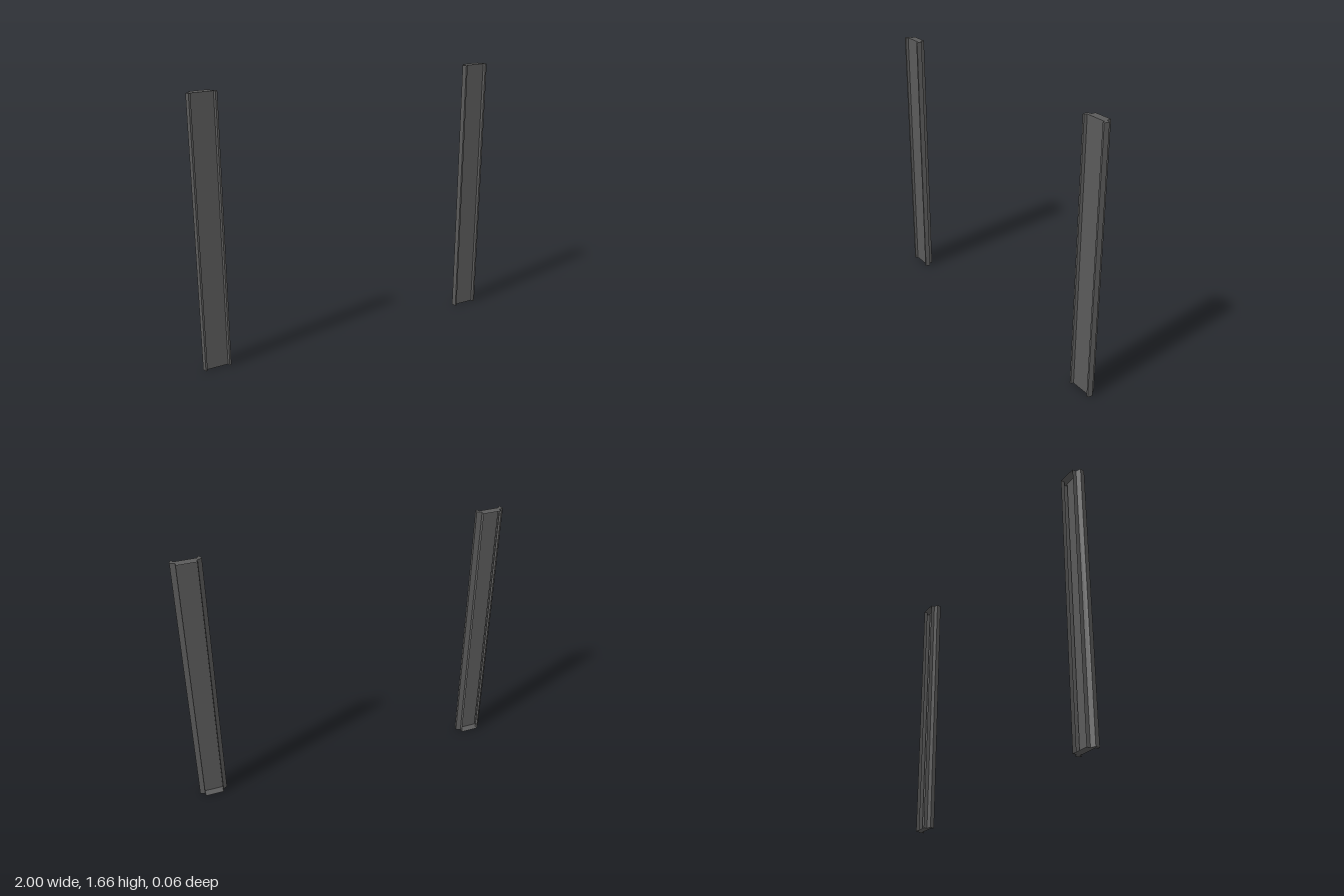
import * as THREE from 'three';

const HEIGHT = 1.665;
const OFFSET = 0.9125;

// Half of the channel section as (x, z), from the open back edge round to the front panel
const HALF = [
  [0.0585, -0.032], [0.0585, -0.008], [0.0875, 0.003],
  [0.081, 0.032], [0.07, 0.032], [0.065, 0.016],
];

export function createModel() {
  const group = new THREE.Group();
  const material = new THREE.MeshStandardMaterial({
    color: 0x5a5a5a, flatShading: true, side: THREE.DoubleSide,
  });
  const section = [...HALF, ...HALF.map(([x, z]) => [-x, z]).reverse()];

  // Sheet walls, left open between the two back edges
  const walls = new THREE.BufferGeometry();
  const positions = [];
  for (let i = 0; i < section.length - 1; i++) {
    const [ax, az] = section[i];
    const [bx, bz] = section[i + 1];
    positions.push(ax, 0, az, bx, HEIGHT, bz, bx, 0, bz);
    positions.push(ax, 0, az, ax, HEIGHT, az, bx, HEIGHT, bz);
  }
  walls.setAttribute('position', new THREE.Float32BufferAttribute(positions, 3));
  walls.computeVertexNormals();

  // End plates closing the section
  const shape = new THREE.Shape(section.map(([x, z]) => new THREE.Vector2(x, -z)));
  const topPlate = new THREE.ShapeGeometry(shape).rotateX(-Math.PI / 2);
  const bottomPlate = new THREE.ShapeGeometry(
    new THREE.Shape(section.map(([x, z]) => new THREE.Vector2(x, z)))
  ).rotateX(Math.PI / 2);
  topPlate.translate(0, HEIGHT, 0);

  // A matching post on each side
  for (const [side, sign] of [['left', 1], ['right', -1]]) {
    const post = new THREE.Group();
    post.name = side + 'Post';
    for (const [name, geometry] of [
      ['channelWalls', walls], ['topPlate', topPlate], ['bottomPlate', bottomPlate],
    ]) {
      const mesh = new THREE.Mesh(geometry, material);
      mesh.name = name;
      post.add(mesh);
    }
    post.position.x = sign * OFFSET;
    group.add(post);
  }
  return group;
}
